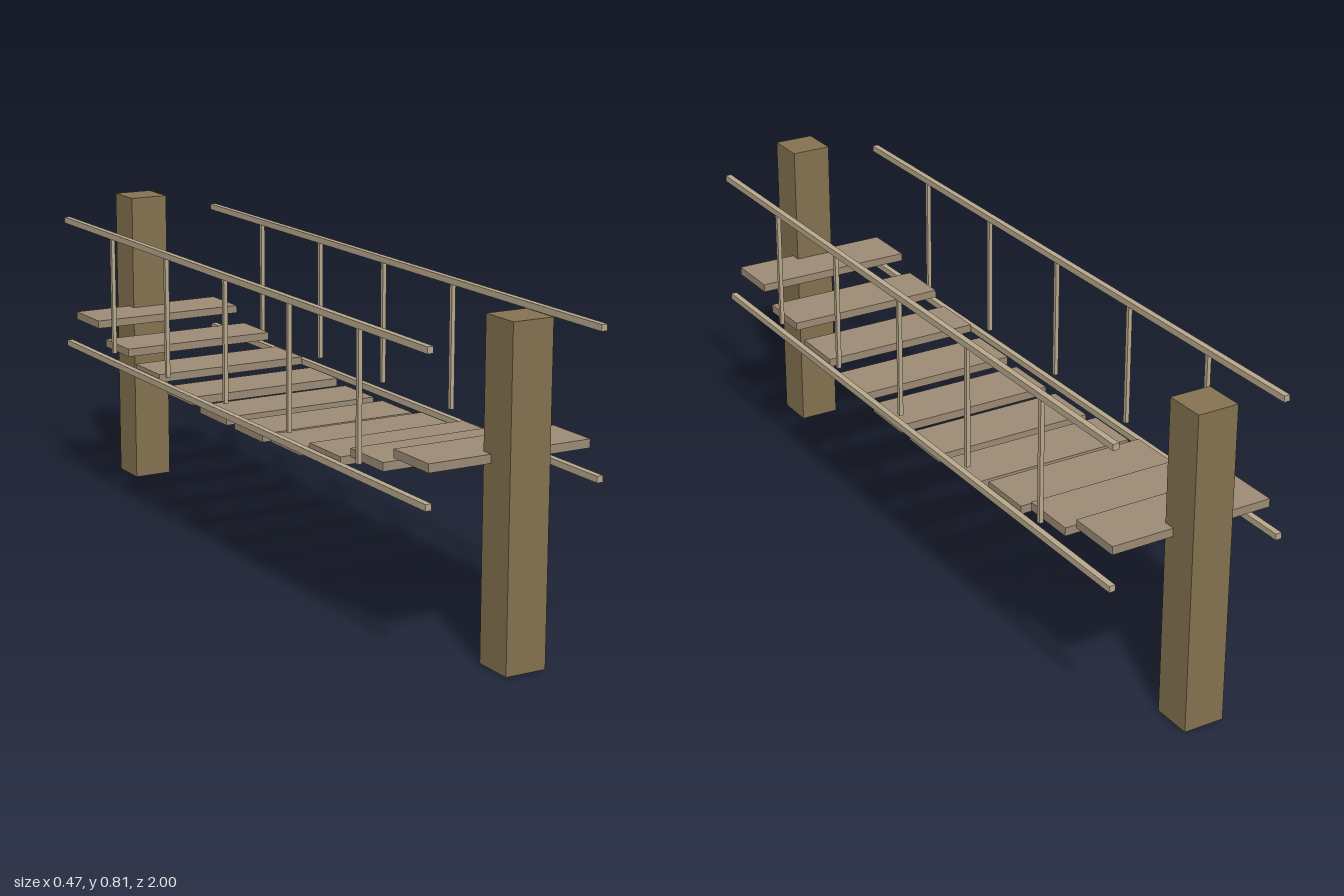
import * as THREE from 'three';

export function createModel() {
  const bridge = new THREE.Group();
  bridge.name = 'plankBridge';

  const postWood = new THREE.MeshStandardMaterial({ color: 0x857250 });
  const plankWood = new THREE.MeshStandardMaterial({ color: 0x9c8b75 });
  const railWood = new THREE.MeshStandardMaterial({ color: 0xb8a88c });

  const addBox = (name, material, [w, h, d], [x, y, z]) => {
    const mesh = new THREE.Mesh(new THREE.BoxGeometry(w, h, d), material);
    mesh.name = name;
    mesh.position.set(x, y, z);
    bridge.add(mesh);
  };

  // One square post at each end
  const postSize = 0.106, postHeight = 0.811;
  for (const end of [1, -1]) {
    addBox(end > 0 ? 'frontPost' : 'backPost', postWood,
      [postSize, postHeight, postSize], [0, postHeight / 2, end * (1 - postSize / 2)]);
  }

  // Ten planks sagging along a parabola
  const plankCount = 10, spacing = 0.1892;
  for (let i = 0; i < plankCount; i++) {
    const step = i - (plankCount - 1) / 2;
    addBox(`plank${i + 1}`, plankWood,
      [0.432, 0.0212, 0.145], [0, 0.3803 + 0.0053 * step * step, step * spacing]);
  }

  // Upper and lower rails with upright balusters on both sides
  for (const side of [1, -1]) {
    const label = side > 0 ? 'left' : 'right';
    const x = side * 0.2295;
    addBox(`${label}HandRail`, railWood, [0.016, 0.016, 1.894], [x, 0.758, 0]);
    addBox(`${label}LowerRail`, railWood, [0.016, 0.016, 1.894], [x, 0.407, 0]);
    for (let i = -2; i <= 2; i++) {
      addBox(`${label}Baluster${i + 3}`, railWood, [0.0106, 0.319, 0.0106], [x, 0.594, i * 0.325]);
    }
  }

  return bridge;
}
